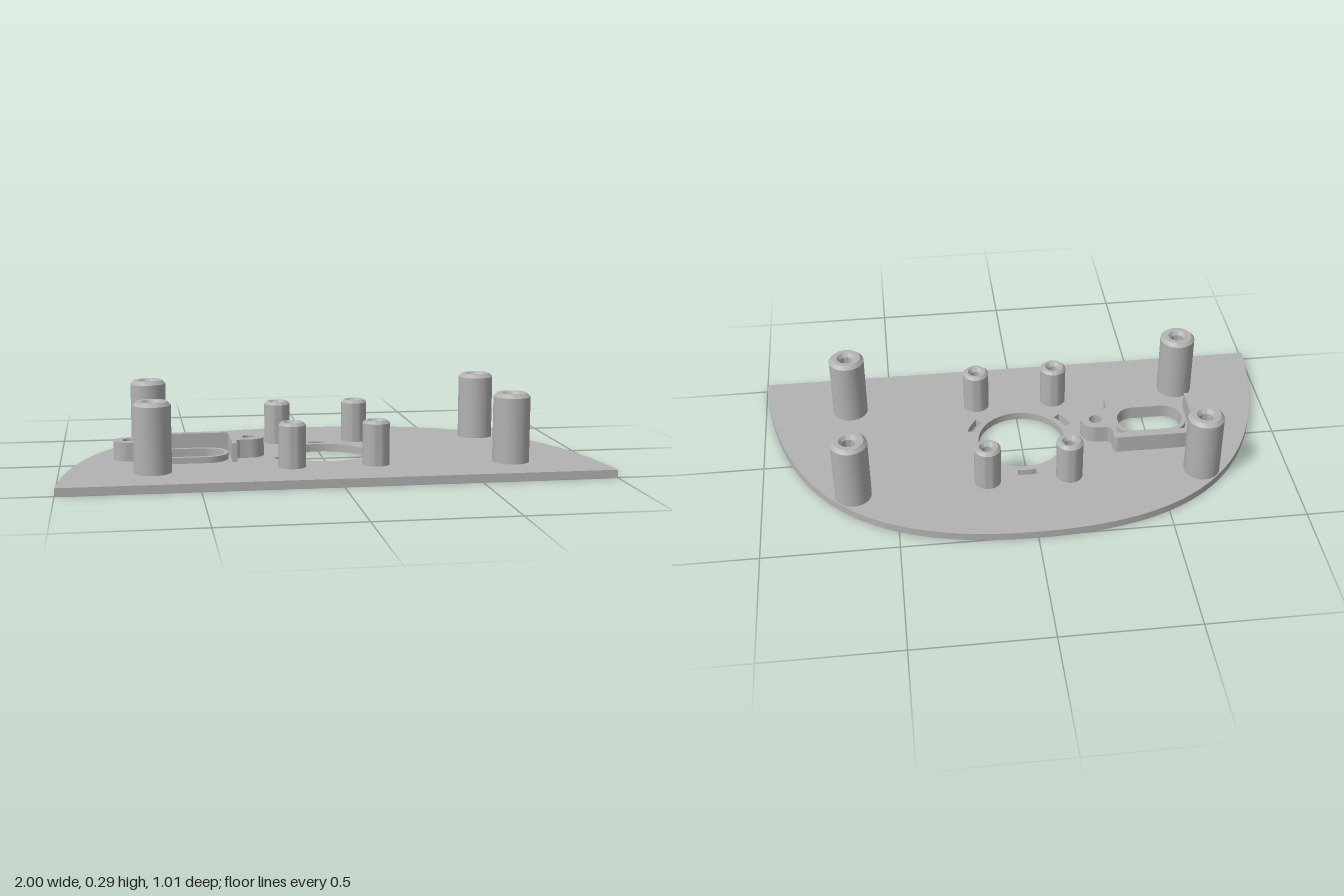
import * as THREE from 'three';
import { toCreasedNormals } from 'three/addons/utils/BufferGeometryUtils.js';

const grey = new THREE.MeshStandardMaterial({ color: 0xb2b2b2 });
grey.name = 'grey plastic';

const PLATE_TOP = 0.03;

// Shapes are drawn in (x, z) and extruded downwards from the height `top`
function slab(name, shape, bottom, top) {
  const g = new THREE.ExtrudeGeometry(shape, { depth: top - bottom, bevelEnabled: false, curveSegments: 24 });
  g.rotateX(Math.PI / 2).translate(0, top, 0);
  const mesh = new THREE.Mesh(toCreasedNormals(g, 0.5), grey);
  mesh.name = name;
  return mesh;
}

// Closed shape from the +x half of an outline, mirrored about x = 0
function mirrored(half, cx = 0) {
  const other = half.map(p => new THREE.Vector2(-p.x, p.y)).reverse();
  const pts = [...half, ...other].map(p => new THREE.Vector2(p.x + cx, p.y));
  return new THREE.Shape(pts.filter((p, i) => i === 0 || p.distanceTo(pts[i - 1]) > 1e-5));
}

function circle(x, z, r) {
  return new THREE.Path().absarc(x, z, r, 0, Math.PI * 2, false);
}

function roundedRect(PathType, cx, cz, hw, hh, r) {
  const p = new PathType();
  p.absarc(cx + hw - r, cz + hh - r, r, 0, Math.PI / 2, false);
  p.absarc(cx - hw + r, cz + hh - r, r, Math.PI / 2, Math.PI, false);
  p.absarc(cx - hw + r, cz - hh + r, r, Math.PI, Math.PI * 1.5, false);
  p.absarc(cx + hw - r, cz - hh + r, r, Math.PI * 1.5, Math.PI * 2, false);
  p.closePath();
  return p;
}

// Hollow screw post with a chamfered rim and a countersunk blind hole
function post(name, x, z, r, height, chamfer, bore) {
  const profile = [
    [r, PLATE_TOP], [r, height - chamfer], [r - chamfer, height],
    [bore + 0.012, height], [bore, height - 0.015], [bore, 0.06], [0, 0.06],
  ].map(p => new THREE.Vector2(...p));
  const mesh = new THREE.Mesh(toCreasedNormals(new THREE.LatheGeometry(profile, 40), 0.5), grey);
  mesh.name = name;
  mesh.position.set(x, 0, z);
  return mesh;
}

export function createModel() {
  const model = new THREE.Group();
  model.name = 'mountingPlate';
  const portX = -0.516, portZ = 0.075;

  // Base plate: straight front edge, domed back edge
  const edge = new THREE.CubicBezierCurve(
    new THREE.Vector2(1, 0.505), new THREE.Vector2(0.94, -0.25),
    new THREE.Vector2(0.6, -0.51), new THREE.Vector2(0, -0.51));
  const plate = mirrored(edge.getPoints(40));
  plate.holes.push(circle(0, 0.03, 0.168));
  plate.holes.push(roundedRect(THREE.Path, portX, portZ, 0.128, 0.074, 0.07));

  // Three curved slots around the large opening
  for (let i = 0; i < 3; i++) {
    const a = -Math.PI / 2 + i * Math.PI * 2 / 3;
    const slot = new THREE.Path();
    slot.absarc(0, 0.03, 0.218, a - 0.18, a + 0.18, false);
    slot.absarc(0, 0.03, 0.19, a + 0.18, a - 0.18, true);
    slot.closePath();
    plate.holes.push(slot);
  }
  model.add(slab('basePlate', plate, 0, PLATE_TOP));

  // Low rim around the port opening
  const rim = roundedRect(THREE.Shape, portX, portZ, 0.143, 0.092, 0.085);
  rim.holes.push(roundedRect(THREE.Path, portX, portZ, 0.128, 0.074, 0.07));
  model.add(slab('portRim', rim, PLATE_TOP, 0.053));

  // U-shaped bracket with a screw ear on each side
  const half = new THREE.Path();
  half.moveTo(0, -0.093);
  half.lineTo(0.155, -0.093);
  half.quadraticCurveTo(0.171, -0.093, 0.171, -0.077);
  half.lineTo(0.171, -0.045);
  half.quadraticCurveTo(0.171, -0.022, 0.195, -0.022);
  half.lineTo(0.225, -0.022);
  half.absarc(0.225, 0.035, 0.057, -Math.PI / 2, Math.PI / 2, false);
  half.lineTo(0.195, 0.092);
  half.quadraticCurveTo(0.171, 0.092, 0.171, 0.115);
  half.lineTo(0.171, 0.158);
  half.lineTo(0.153, 0.158);
  half.lineTo(0.153, -0.062);
  half.lineTo(0, -0.062);
  const bracket = mirrored(half.getPoints(16), portX);
  for (const s of [-1, 1]) bracket.holes.push(circle(portX + s * 0.225, 0.032, 0.025));
  model.add(slab('portBracket', bracket, PLATE_TOP, 0.1));

  // Four tall outer posts and four short inner posts
  for (const [side, s] of [['left', 1], ['right', -1]]) {
    for (const [end, zTall, zShort] of [['Front', 0.295, 0.273], ['Back', -0.227, -0.205]]) {
      model.add(post(`${side}${end}TallPost`, s * 0.66, zTall, 0.068, 0.287, 0.013, 0.024));
      model.add(post(`${side}${end}ShortPost`, s * 0.155, zShort, 0.05, 0.195, 0.01, 0.018));
    }
  }
  return model;
}
